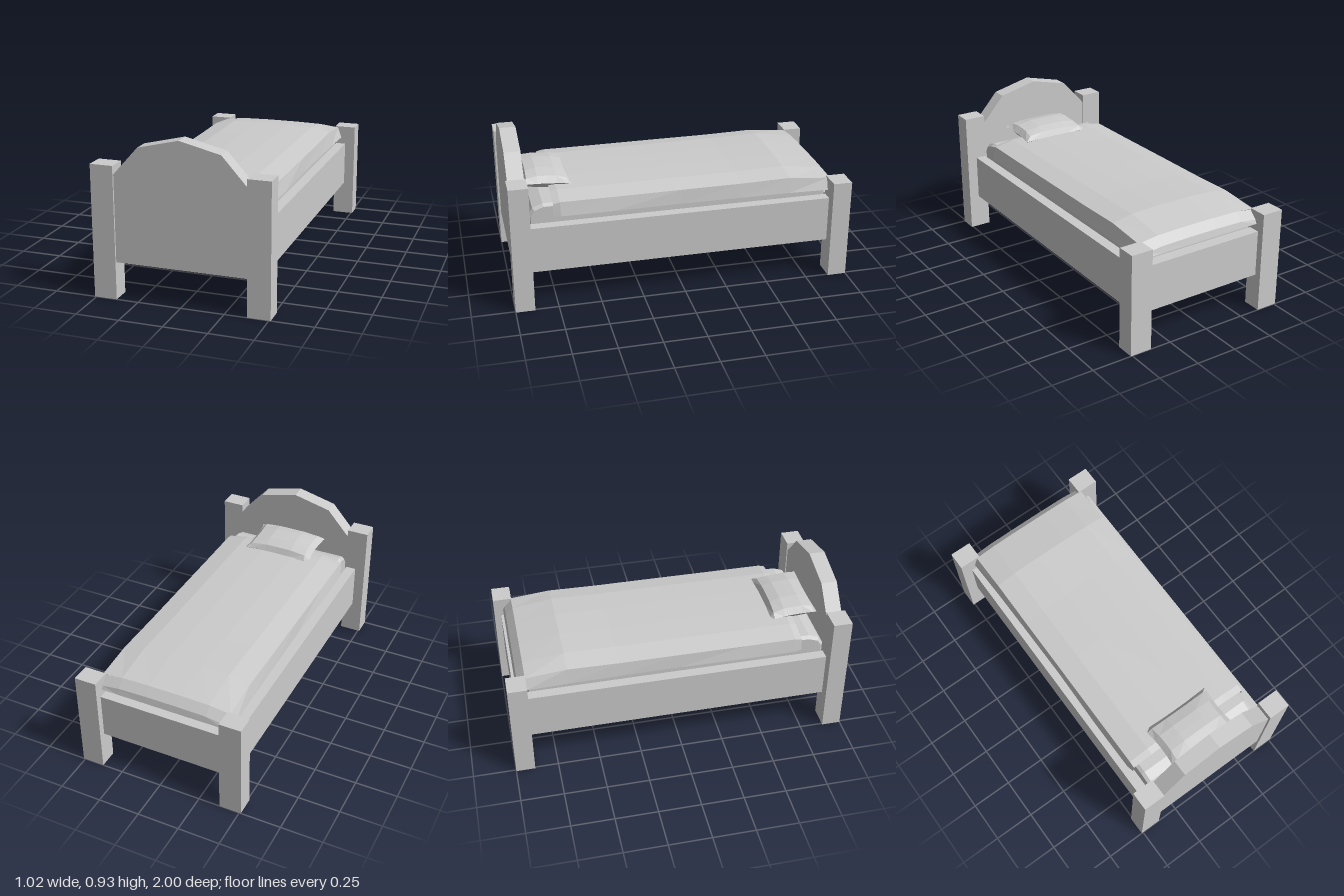
import * as THREE from 'three';

const material = new THREE.MeshStandardMaterial({ color: 0xcccccc, flatShading: true });
const clothMaterial = new THREE.MeshStandardMaterial({ color: 0xcccccc, flatShading: true, side: THREE.DoubleSide });

// Box given by its lower and upper limits on each axis
function box(name, [x0, x1], [y0, y1], [z0, z1]) {
  const mesh = new THREE.Mesh(new THREE.BoxGeometry(x1 - x0, y1 - y0, z1 - z0), material);
  mesh.position.set((x0 + x1) / 2, (y0 + y1) / 2, (z0 + z1) / 2);
  mesh.name = name;
  return mesh;
}

const outline = (points) => new THREE.Shape(points.map(([x, y]) => new THREE.Vector2(x, y)));

// Surface through a grid of points; at(i, j) returns [x, y, z]
function sheet(name, columns, rows, at, flip) {
  const positions = [];
  const index = [];
  for (let j = 0; j < rows; j++) {
    for (let i = 0; i < columns; i++) positions.push(...at(i, j));
  }
  for (let j = 0; j < rows - 1; j++) {
    for (let i = 0; i < columns - 1; i++) {
      const a = j * columns + i, b = a + 1, c = a + columns, d = c + 1;
      if (flip) index.push(a, b, c, b, d, c);
      else index.push(a, c, b, b, c, d);
    }
  }
  const geometry = new THREE.BufferGeometry();
  geometry.setAttribute('position', new THREE.Float32BufferAttribute(positions, 3));
  geometry.setIndex(index);
  geometry.computeVertexNormals();
  const mesh = new THREE.Mesh(geometry, clothMaterial);
  mesh.name = name;
  return mesh;
}

function createHeadboard() {
  const shape = outline([
    [-0.378, 0.215], [0.378, 0.215], [0.378, 0.715], [0.235, 0.875],
    [0, 0.932], [-0.235, 0.875], [-0.378, 0.715],
  ]);
  const geometry = new THREE.ExtrudeGeometry(shape, { depth: 0.095, bevelEnabled: false });
  const mesh = new THREE.Mesh(geometry, material);
  mesh.position.z = 0.894;
  mesh.name = 'headboard';
  return mesh;
}

// Side profile pulled across the bed; the ends roll off toward the boards
function createMattress() {
  const profile = outline([
    [-0.888, 0.4], [0.888, 0.4], [0.888, 0.55], [0.65, 0.6],
    [-0.8, 0.6], [-0.86, 0.577], [-0.888, 0.535],
  ]);
  const geometry = new THREE.ExtrudeGeometry(profile, {
    depth: 0.72, bevelThickness: 0.02, bevelSize: 0.015, bevelOffset: -0.015, bevelSegments: 1,
  });
  geometry.translate(0, 0, -0.36);
  geometry.rotateY(Math.PI / 2);
  const mesh = new THREE.Mesh(geometry, material);
  mesh.name = 'mattress';
  return mesh;
}

function createBlanket() {
  const group = new THREE.Group();
  group.name = 'blanket';
  // Half-width cross-section: x, drop below the crown
  const half = [[0.1, 0], [0.27, 0.006], [0.395, 0.03]];
  const section = [...half.map(([x, d]) => [-x, d]).reverse(), ...half];
  // Crown along the bed: z, y, x of the hanging hem
  const spine = [
    [0.745, 0.632, 0.4], [0.705, 0.641, 0.41], [0.4, 0.641, 0.412], [0, 0.643, 0.405],
    [-0.35, 0.644, 0.408], [-0.65, 0.65, 0.412], [-0.89, 0.615, 0.42],
  ];
  const last = section.length + 1;
  group.add(sheet('blanketTop', last + 1, spine.length, (i, j) => {
    const [z, y, hem] = spine[j];
    if (i === 0 || i === last) return [i ? hem : -hem, 0.53, z];
    const [x, drop] = section[i - 1];
    return [x, y - drop * (j === spine.length - 1 ? 0.6 : 1), z];
  }, true));
  // Flap turned down over the footboard
  group.add(sheet('blanketFootFlap', section.length, 3, (i, j) => {
    const x = THREE.MathUtils.clamp(section[i][0], -0.376, 0.376);
    const y = 0.615 - section[i][1] * 0.6;
    return [[x, y, -0.89], [x, y - 0.045, -0.935], [x, 0.53, -0.945]][j];
  }, true));
  return group;
}

function createPillow() {
  const group = new THREE.Group();
  group.name = 'pillow';
  const stops = [-1, -0.85, -0.4, 0, 0.4, 0.85, 1];
  for (const side of [1, -1]) {
    group.add(sheet(side > 0 ? 'pillowTop' : 'pillowUnderside', stops.length, stops.length, (i, j) => {
      const u = stops[i], v = stops[j];
      // Sides bow inward and the cushion swells toward its middle
      const x = u * (0.208 + 0.012 * v * v);
      const z = 0.75 + v * (0.135 + 0.006 * u * u);
      const swell = 0.051 * Math.sqrt((1 - u ** 4) * (1 - v ** 4));
      return [x, 0.649 + 0.009 * v + side * swell, z];
    }, side < 0));
  }
  return group;
}

export function createModel() {
  const bed = new THREE.Group();
  bed.name = 'bed';

  // Posts and side rails, mirrored left and right
  for (const [label, s] of [['left', 1], ['right', -1]]) {
    const span = (a, b) => (s > 0 ? [a, b] : [-b, -a]);
    bed.add(
      box(label + 'HeadPost', span(0.378, 0.51), [0, 0.765], [0.888, 1]),
      box(label + 'FootPost', span(0.378, 0.51), [0, 0.605], [-1, -0.888]),
      box(label + 'SideRail', span(0.385, 0.447), [0.213, 0.488], [-0.888, 0.888]),
    );
  }

  // End boards and bedding
  bed.add(createHeadboard());
  bed.add(box('footboard', [-0.378, 0.378], [0.213, 0.488], [-0.96, -0.89]));
  bed.add(createMattress(), createBlanket(), createPillow());
  return bed;
}
